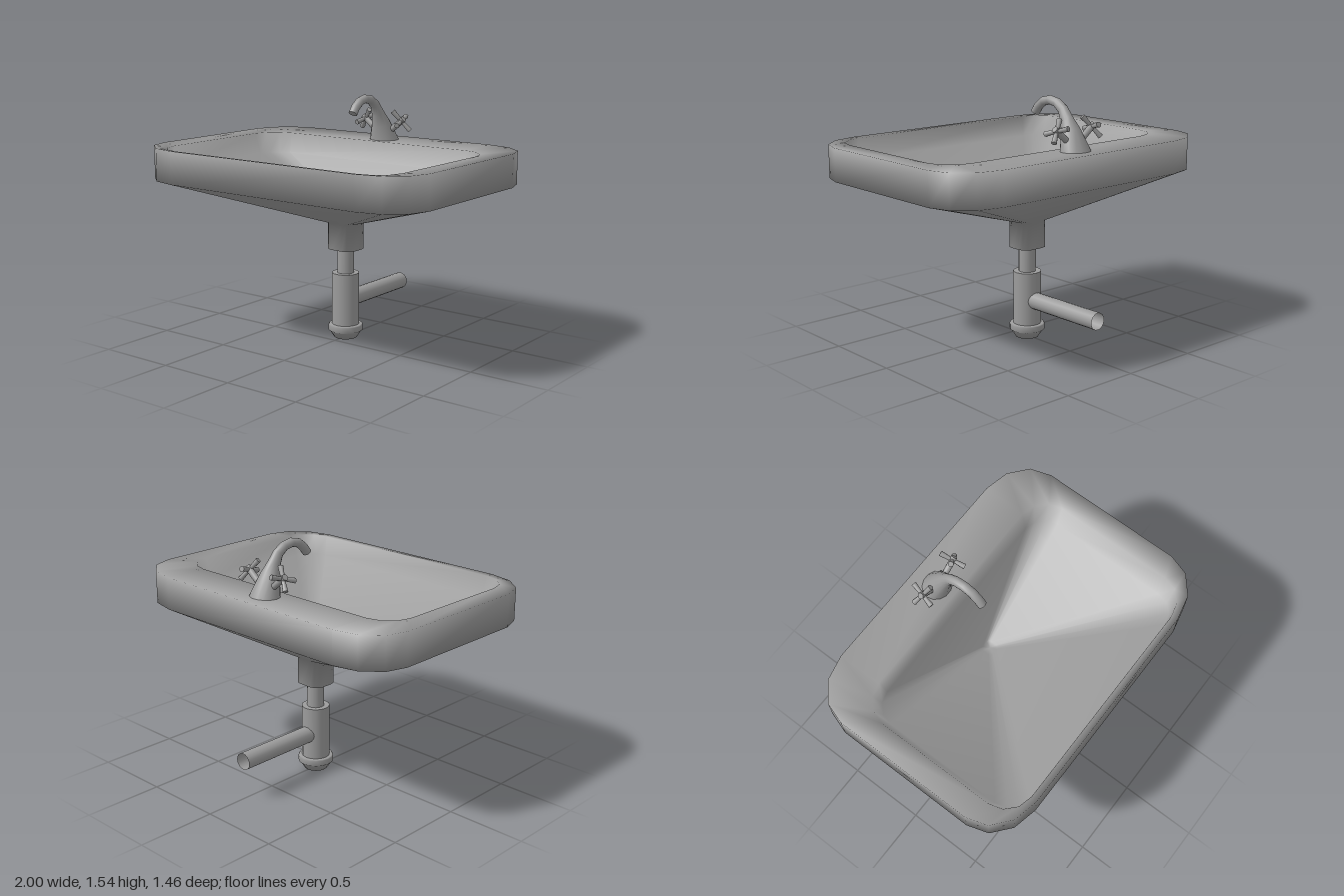
import * as THREE from 'three';

const material = new THREE.MeshStandardMaterial({ color: 0x9c9c9c, side: THREE.DoubleSide });

function addMesh(parent, name, geometry) {
  const mesh = new THREE.Mesh(geometry, material);
  mesh.name = name;
  parent.add(mesh);
  return mesh;
}

// Smooth skin over rings that all have the same number of points
function loft(rings) {
  const n = rings[0].length;
  const index = [];
  for (let i = 0; i < rings.length - 1; i++) {
    for (let j = 0; j < n; j++) {
      const a = i * n + j, b = i * n + (j + 1) % n, c = a + n, d = b + n;
      index.push(a, c, b, b, c, d);
    }
  }
  const g = new THREE.BufferGeometry().setFromPoints(rings.flat());
  g.setIndex(index);
  g.computeVertexNormals();
  return g;
}

// Rounded rectangle with four points per corner, lying level at height y
function roundedLoop(halfX, zBack, zFront, rx, rz, y) {
  const points = [];
  const corners = [[1, 1], [-1, 1], [-1, -1], [1, -1]];
  corners.forEach(([sx, sz], q) => {
    const cx = sx * (halfX - rx);
    const cz = sz > 0 ? zFront - rz : zBack + rz;
    for (let k = 0; k < 4; k++) {
      const a = (q + k / 3) * Math.PI / 2;
      points.push(new THREE.Vector3(cx + rx * Math.cos(a), y, cz + rz * Math.sin(a)));
    }
  });
  return points;
}

// Round bar between two points
function bar(parent, name, from, to, r0, r1, sides = 8) {
  const dir = to.clone().sub(from);
  const mesh = addMesh(parent, name, new THREE.CylinderGeometry(r1, r0, dir.length(), sides));
  mesh.position.copy(from).add(to).multiplyScalar(0.5);
  mesh.quaternion.setFromUnitVectors(new THREE.Vector3(0, 1, 0), dir.normalize());
  return mesh;
}

function createBasin(parent) {
  // Collar, underside, outer wall, flat rim with a deep tap shelf, then the bowl
  addMesh(parent, 'basin', loft([
    roundedLoop(0.001, -0.113, -0.112, 0.0003, 0.0003, 0.58),
    roundedLoop(0.1, -0.205, -0.02, 0.06, 0.06, 0.58),
    roundedLoop(0.1, -0.205, -0.02, 0.06, 0.06, 0.75),
    roundedLoop(1, -0.69, 0.73, 0.31, 0.26, 1.03),
    roundedLoop(1, -0.69, 0.73, 0.31, 0.26, 1.235),
    roundedLoop(0.86, -0.41, 0.69, 0.18, 0.17, 1.23),
    roundedLoop(0.81, -0.375, 0.67, 0.14, 0.14, 1.1),
    roundedLoop(0.04, -0.18, -0.1, 0.02, 0.02, 0.8),
    roundedLoop(0.001, -0.141, -0.139, 0.0005, 0.0005, 0.8),
  ]));
}

function createDrain(parent) {
  const drain = new THREE.Group();
  drain.name = 'drain';
  drain.position.z = -0.113;
  parent.add(drain);

  const parts = [
    ['drainTube', 0.053, 0.4, 0.6],
    ['trapBody', 0.087, 0.07, 0.425],
  ];
  for (const [name, radius, y0, y1] of parts) {
    const mesh = addMesh(drain, name, new THREE.CylinderGeometry(radius, radius, y1 - y0, 16));
    mesh.position.y = (y0 + y1) / 2;
  }

  // Trap nut with its tapered bottom
  const nut = [[0, 0], [0.072, 0], [0.1, 0.043], [0.11, 0.05], [0.11, 0.083], [0.105, 0.09], [0.08, 0.09]];
  addMesh(drain, 'trapNut', new THREE.LatheGeometry(nut.map(([r, y]) => new THREE.Vector2(r, y)), 16));

  // Open waste pipe running to the wall
  const pipe = addMesh(drain, 'wastePipe', new THREE.CylinderGeometry(0.053, 0.053, 0.66, 16, 1, true));
  pipe.rotation.x = Math.PI / 2;
  pipe.position.set(0, 0.245, -0.287);
}

function createTap(parent) {
  const tap = new THREE.Group();
  tap.name = 'tap';
  parent.add(tap);

  // Body narrowing into a curved spout: z, y, half width, half depth
  const path = [
    [-0.53, 1.2, 0.1, 0.09], [-0.527, 1.235, 0.097, 0.087], [-0.485, 1.34, 0.06, 0.06],
    [-0.45, 1.41, 0.036, 0.042], [-0.418, 1.464, 0.03, 0.032], [-0.37, 1.498, 0.029, 0.028],
    [-0.31, 1.509, 0.029, 0.027], [-0.255, 1.496, 0.029, 0.027], [-0.212, 1.463, 0.029, 0.027],
    [-0.184, 1.426, 0.029, 0.027],
  ];
  const centres = path.map(([z, y]) => new THREE.Vector3(0, y, z));
  const xAxis = new THREE.Vector3(1, 0, 0);
  const rings = path.map(([, , w, d], i) => {
    const before = centres[Math.max(i - 1, 0)];
    const after = centres[Math.min(i + 1, path.length - 1)];
    const tangent = i < 2 ? new THREE.Vector3(0, 1, 0) : after.clone().sub(before).normalize();
    const normal = xAxis.clone().cross(tangent);
    return Array.from({ length: 14 }, (_, j) => {
      const a = j / 14 * Math.PI * 2;
      return centres[i].clone()
        .addScaledVector(xAxis, w * Math.cos(a))
        .addScaledVector(normal, d * Math.sin(a));
    });
  });
  addMesh(tap, 'spout', loft(rings));
  const end = centres[centres.length - 1];
  addMesh(tap, 'spoutEnd', loft([
    rings[rings.length - 1],
    rings[rings.length - 1].map((p) => end.clone().lerp(p, 0.01)),
  ]));

  // Cross handles on slanted stems, one each side
  for (const side of [1, -1]) {
    const handle = new THREE.Group();
    handle.name = side > 0 ? 'leftHandle' : 'rightHandle';
    tap.add(handle);
    const axis = new THREE.Vector3(side * 0.78, 0.62, 0).normalize();
    const across = new THREE.Vector3(-side * 0.62, 0.78, 0).normalize();
    const hub = new THREE.Vector3(side * 0.14, 1.36, -0.515);
    bar(handle, 'stem', hub.clone().addScaledVector(axis, -0.13),
      hub.clone().addScaledVector(axis, 0.022), 0.02, 0.02);
    for (let k = 0; k < 4; k++) {
      const a = 0.35 + k * Math.PI / 2;
      const tip = hub.clone().addScaledVector(across, 0.082 * Math.cos(a));
      tip.z += 0.082 * Math.sin(a);
      bar(handle, 'handleArm', hub, tip, 0.011, 0.017);
    }
  }
}

export function createModel() {
  const model = new THREE.Group();
  model.name = 'washbasin';
  createBasin(model);
  createDrain(model);
  createTap(model);
  return model;
}
